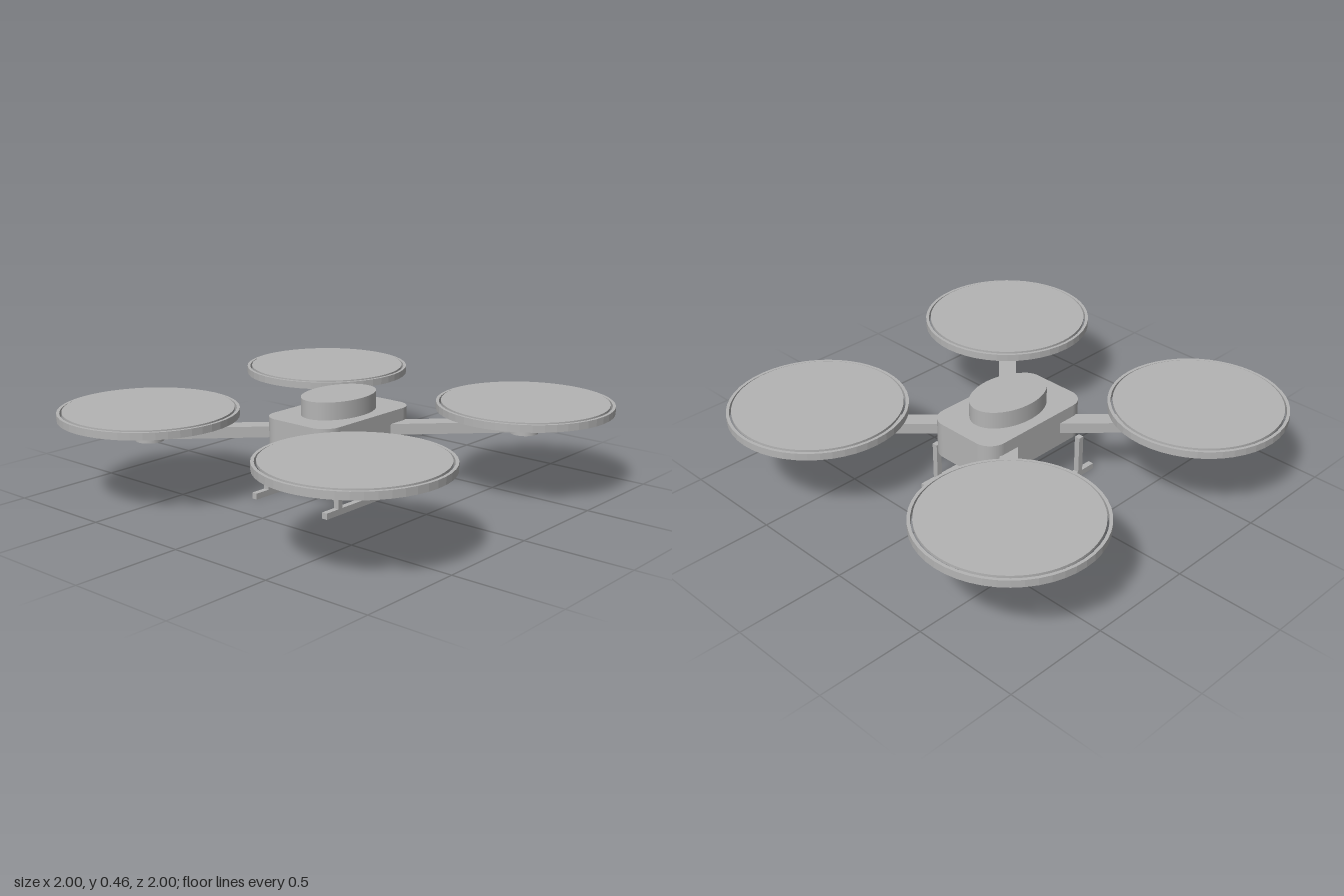
import * as THREE from 'three';

export function createModel() {
  const model = new THREE.Group();
  model.name = 'quadcopter';
  const grey = new THREE.MeshStandardMaterial({ color: 0xb4b4b4 });
  grey.name = 'light grey';

  const add = (parent, name, geometry, x = 0, y = 0, z = 0) => {
    const mesh = new THREE.Mesh(geometry, grey);
    mesh.name = name;
    mesh.position.set(x, y, z);
    parent.add(mesh);
    return mesh;
  };
  // Extrudes a plan outline straight up
  const prism = (shape, height) =>
    new THREE.ExtrudeGeometry(shape, { depth: height, bevelEnabled: false, curveSegments: 24 })
      .rotateX(-Math.PI / 2);

  // Body with rounded upright corners
  const w = 0.303, d = 0.191, r = 0.085;
  const plan = new THREE.Shape();
  plan.absarc(w - r, d - r, r, 0, Math.PI / 2);
  plan.absarc(r - w, d - r, r, Math.PI / 2, Math.PI);
  plan.absarc(r - w, r - d, r, Math.PI, Math.PI * 1.5);
  plan.absarc(w - r, r - d, r, Math.PI * 1.5, Math.PI * 2);
  plan.closePath();
  add(model, 'body', prism(plan, 0.17), 0, 0.21, 0);

  // Oval cover on top
  const cover = new THREE.CylinderGeometry(0.202, 0.202, 0.08, 64).scale(1, 1, 0.68);
  add(model, 'topCover', cover, 0, 0.42, 0);

  // Shared rotor parts
  const ringPlan = new THREE.Shape().absarc(0, 0, 0.403, 0, Math.PI * 2);
  ringPlan.holes.push(new THREE.Path().absarc(0, 0, 0.389, 0, Math.PI * 2, true));
  const guard = prism(ringPlan, 0.033);
  const disc = new THREE.CylinderGeometry(0.38, 0.38, 0.012, 64);
  const motor = new THREE.CylinderGeometry(0.065, 0.065, 0.135, 32);
  const arm = new THREE.BoxGeometry(0.72, 0.05, 0.08);
  const c = 0.597;

  for (const sx of [-1, 1]) {
    for (const sz of [-1, 1]) {
      // Rotor on a diagonal arm
      const rotor = new THREE.Group();
      rotor.name = `${sz > 0 ? 'front' : 'back'}${sx > 0 ? 'Left' : 'Right'}Rotor`;
      model.add(rotor);
      const beam = add(rotor, 'arm', arm, sx * 0.345, 0.297, sz * 0.345);
      beam.rotation.y = -sx * sz * Math.PI / 4;
      add(rotor, 'motor', motor, sx * c, 0.3275, sz * c);
      add(rotor, 'propellerDisc', disc, sx * c, 0.401, sz * c);
      add(rotor, 'guardRing', guard, sx * c, 0.37, sz * c);
    }
  }

  // Landing gear: a skid on two legs, front and back
  for (const sz of [-1, 1]) {
    const gear = new THREE.Group();
    gear.name = sz > 0 ? 'frontLandingGear' : 'backLandingGear';
    model.add(gear);
    add(gear, 'skid', new THREE.BoxGeometry(0.67, 0.028, 0.027), 0, 0.014, sz * 0.209);
    for (const sx of [-1, 1]) {
      add(gear, 'leg', new THREE.BoxGeometry(0.027, 0.182, 0.027), sx * 0.246, 0.119, sz * 0.209);
    }
  }
  return model;
}
